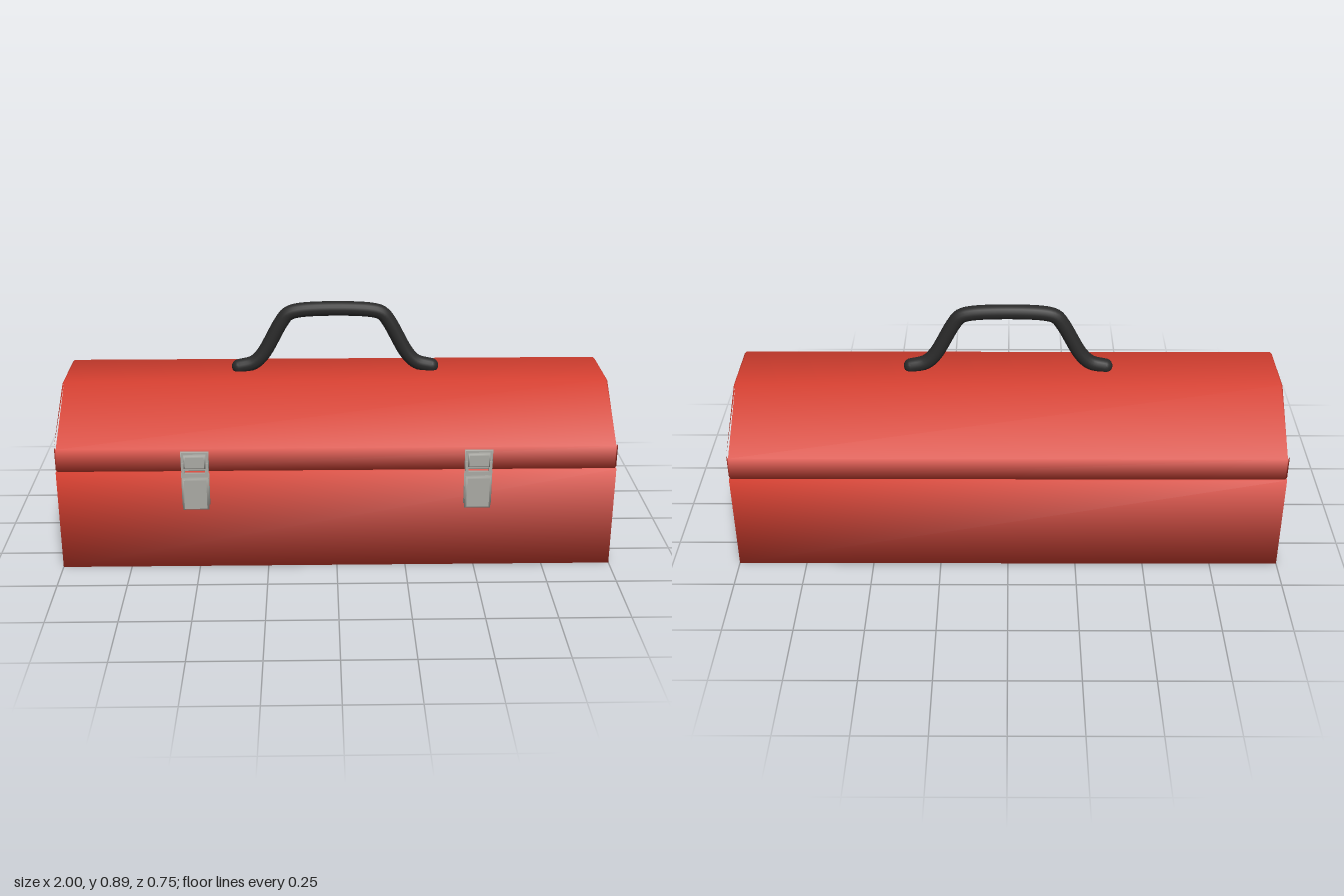
import * as THREE from 'three';

const red = new THREE.MeshStandardMaterial({ color: 0xd23e2f });
red.name = 'red paint';
const steel = new THREE.MeshStandardMaterial({ color: 0xaaaaa4 });
steel.name = 'latch steel';
const black = new THREE.MeshStandardMaterial({ color: 0x2a2a2a });
black.name = 'black handle';

function addMesh(parent, name, geometry, material, x = 0, y = 0, z = 0) {
  const mesh = new THREE.Mesh(geometry, material);
  mesh.name = name;
  mesh.position.set(x, y, z);
  parent.add(mesh);
  return mesh;
}

// Convex [z, y] profile swept along one axis through rings of { at, inset },
// smooth around the sides; caps either share the side vertices or stay flat.
function sweep(profile, rings, place, smoothCaps) {
  const pos = [], index = [], n = profile.length;
  const mid = [0, 1].map(k => {
    const v = profile.map(p => p[k]);
    return (Math.min(...v) + Math.max(...v)) / 2;
  });
  const ringPoints = ({ at, inset }) => profile.map(p =>
    place(p[0] - Math.sign(p[0] - mid[0]) * inset, p[1] - Math.sign(p[1] - mid[1]) * inset, at));
  rings.forEach(r => ringPoints(r).forEach(p => pos.push(...p)));
  for (let i = 0; i < rings.length - 1; i++) {
    for (let j = 0; j < n; j++) {
      const a = i * n + j, b = i * n + (j + 1) % n;
      index.push(a, a + n, b + n, a, b + n, b);
    }
  }
  for (const last of [false, true]) {
    let base = last ? (rings.length - 1) * n : 0;
    if (!smoothCaps) {
      base = pos.length / 3;
      ringPoints(rings[last ? rings.length - 1 : 0]).forEach(p => pos.push(...p));
    }
    for (let j = 1; j < n - 1; j++) {
      if (last) index.push(base, base + j + 1, base + j);
      else index.push(base, base + j, base + j + 1);
    }
  }
  // the profile runs up the front and back over the top, so reverse the end caps
  const capStart = (rings.length - 1) * n * 6;
  for (let i = capStart; i < index.length; i += 3) {
    [index[i + 1], index[i + 2]] = [index[i + 2], index[i + 1]];
  }
  const g = new THREE.BufferGeometry();
  g.setAttribute('position', new THREE.Float32BufferAttribute(pos, 3));
  g.setIndex(orient(pos, index, capStart));
  g.computeVertexNormals();
  return g;
}

// Turn every triangle to face away from the centre of the convex solid
function orient(pos, index) {
  const v = i => new THREE.Vector3().fromArray(pos, i * 3);
  const centre = new THREE.Box3().setFromArray(pos).getCenter(new THREE.Vector3());
  for (let i = 0; i < index.length; i += 3) {
    const a = v(index[i]), b = v(index[i + 1]), c = v(index[i + 2]);
    const normal = b.sub(a).cross(c.sub(a));
    if (normal.dot(a.sub(centre)) < 0) [index[i + 1], index[i + 2]] = [index[i + 2], index[i + 1]];
  }
  return index;
}

const alongX = (z, y, x) => [x, y, z];
const alongZ = (x, y, z) => [x, y, z];

// Plate facing +z with a chamfered front rim
function plate(w, bottom, top, z0, z1, bevel) {
  const p = [[w / 2, bottom], [w / 2, top], [-w / 2, top], [-w / 2, bottom]];
  return sweep(p, [
    { at: z0, inset: 0 }, { at: z1 - bevel, inset: 0 }, { at: z1, inset: bevel },
  ], alongZ, false);
}

function createLatch(name, x) {
  const latch = new THREE.Group();
  latch.name = name;
  latch.position.x = x;
  // catch on the lid
  addMesh(latch, 'catchBase', plate(0.1, 0.383, 0.458, 0.35, 0.366, 0.003), steel);
  addMesh(latch, 'catchHook', plate(0.078, 0.396, 0.448, 0.36, 0.379, 0.005), steel);
  // lever on the body
  addMesh(latch, 'leverBase', plate(0.1, 0.25, 0.376, 0.35, 0.366, 0.003), steel);
  addMesh(latch, 'lever', plate(0.094, 0.235, 0.36, 0.362, 0.379, 0.007), steel);
  for (const s of [-1, 1]) {
    addMesh(latch, 'link', new THREE.BoxGeometry(0.012, 0.06, 0.006), steel, s * 0.042, 0.385, 0.367);
  }
  return latch;
}

export function createModel() {
  const model = new THREE.Group();
  model.name = 'toolbox';

  // Lower box
  const bodyProfile = [[0.36, 0], [0.36, 0.378], [-0.375, 0.378], [-0.375, 0]];
  addMesh(model, 'body', sweep(bodyProfile,
    [{ at: -1, inset: 0 }, { at: 1, inset: 0 }], alongX, true), red);

  // Sloped lid with slightly chamfered ends
  const lidProfile = [
    [0.36, 0.382], [0.36, 0.468], [0.115, 0.629], [-0.13, 0.629], [-0.375, 0.469], [-0.375, 0.382],
  ];
  addMesh(model, 'lid', sweep(lidProfile, [
    { at: -1, inset: 0.006 }, { at: -0.993, inset: 0 },
    { at: 0.993, inset: 0 }, { at: 1, inset: 0.006 },
  ], alongX, false), red);

  // Dark seam is the narrow gap around this inner rim
  addMesh(model, 'innerRim', new THREE.BoxGeometry(1.97, 0.02, 0.71), red, 0, 0.38, -0.0075);

  // Latches
  model.add(createLatch('leftLatch', 0.505), createLatch('rightLatch', -0.505));

  // Carrying handle
  const half = [[0.36, 0.642], [0.305, 0.657], [0.27, 0.69], [0.2, 0.815], [0.175, 0.847], [0.13, 0.861]];
  const handleZ = -0.012;
  const points = [
    ...half.map(([x, y]) => new THREE.Vector3(-x, y, handleZ)),
    ...half.slice().reverse().map(([x, y]) => new THREE.Vector3(x, y, handleZ)),
  ];
  const curve = new THREE.CatmullRomCurve3(points, false, 'centripetal');
  const handle = new THREE.Group();
  handle.name = 'handle';
  model.add(handle);
  addMesh(handle, 'grip', new THREE.TubeGeometry(curve, 80, 0.027, 16, false), black);
  for (const s of [-1, 1]) {
    const foot = addMesh(handle, 'handleFoot', new THREE.SphereGeometry(0.027, 16, 12), black,
      s * 0.36, 0.642, handleZ);
    foot.rotation.z = -s * 0.25;
  }

  return model;
}
